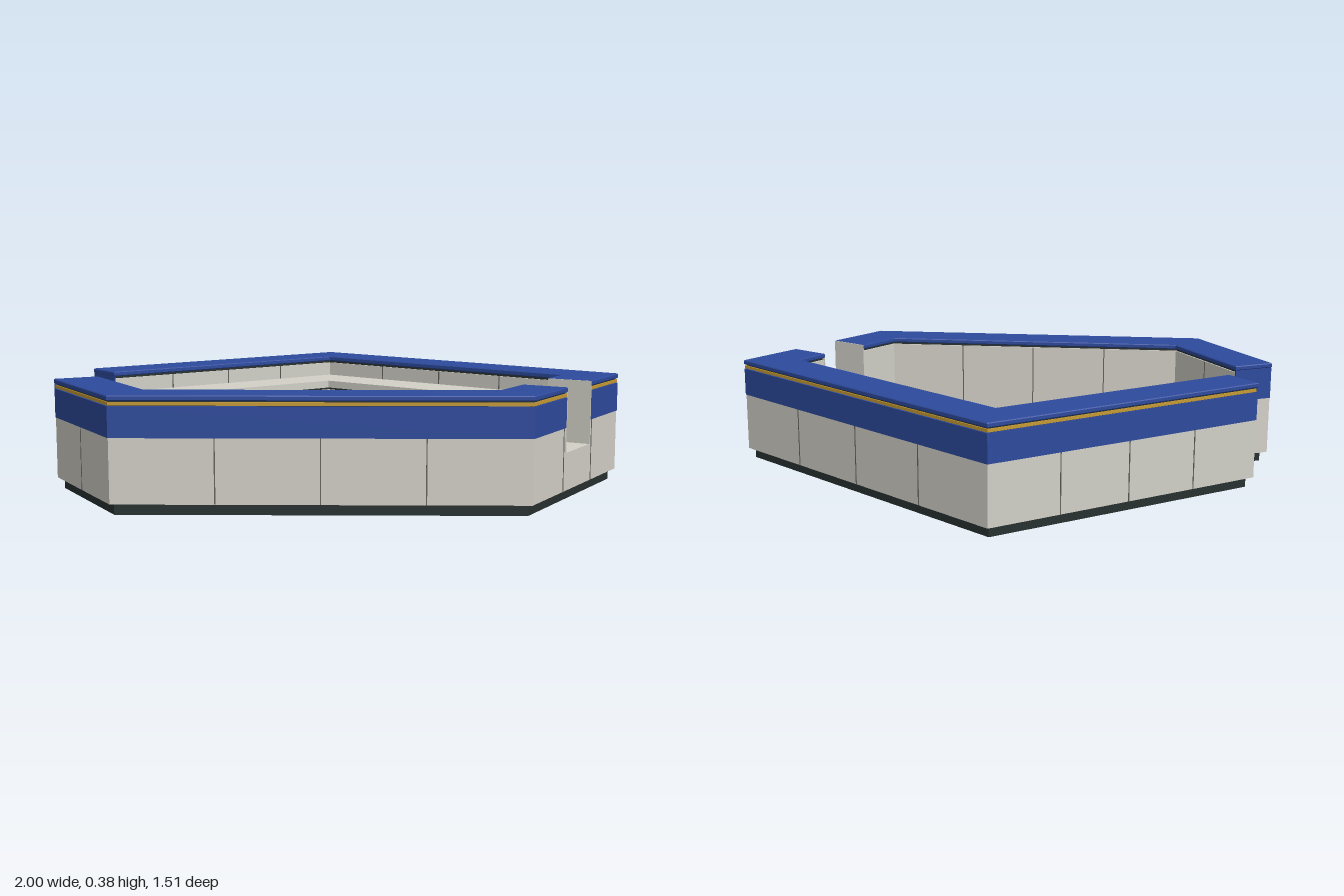
import * as THREE from 'three';

const mat = (name, color) => Object.assign(new THREE.MeshStandardMaterial({ color }), { name });

export function createModel() {
  const group = new THREE.Group();
  const grey = mat('warm grey panel', 0xd2d0c7);
  const blue = mat('blue band', 0x2d4a9c);
  const gold = mat('gold trim', 0xc69a35);
  const dark = mat('dark plinth', 0x283030);
  const seamMat = mat('panel seam', 0x66645f);

  // Outer outline in plan (x, z), running clockwise seen from above
  const A = [-0.93, -0.07], B = [-0.06, -0.755], C = [0.995, 0.08];
  const D = [0.61, 0.752], E = [-0.73, 0.752], F = [-1, 0.285];
  const mix = (p, q, t) => [p[0] + (q[0] - p[0]) * t, p[1] + (q[1] - p[1]) * t];
  const G1 = mix(C, D, 0.351), G2 = mix(C, D, 0.645);
  const T = 0.16; // wall thickness
  const direction = (p, q) => {
    const l = Math.hypot(q[0] - p[0], q[1] - p[1]);
    return [(q[0] - p[0]) / l, (q[1] - p[1]) / l];
  };

  // Path moved inward by d with mitred corners
  function offset(path, d) {
    return path.map((p, i) => {
      const a = direction(path[Math.max(i - 1, 0)], path[Math.max(i, 1)]);
      const last = path.length - 1;
      const b = direction(path[Math.min(i, last - 1)], path[Math.min(i + 1, last)]);
      const n = [-a[1] - b[1], a[0] + b[0]];
      const k = d / (1 + a[0] * b[0] + a[1] * b[1]);
      return [p[0] + n[0] * k, p[1] + n[1] * k];
    });
  }

  // Both ends of a path shortened
  function trim(path, start, end) {
    const out = path.map((p) => [...p]), n = path.length - 1;
    const s = direction(path[0], path[1]), e = direction(path[n], path[n - 1]);
    out[0] = [path[0][0] + s[0] * start, path[0][1] + s[1] * start];
    out[n] = [path[n][0] + e[0] * end, path[n][1] + e[1] * end];
    return out;
  }

  // Solid strip between two offsets of a path, from y0 to y1
  function strip(name, path, d0, d1, y0, y1, material, bevel = 0) {
    const pts = [...offset(path, d0 + bevel), ...offset(path, d1 - bevel).reverse()];
    const shape = new THREE.Shape(pts.map(([x, z]) => new THREE.Vector2(x, -z)));
    const geo = new THREE.ExtrudeGeometry(shape, {
      depth: y1 - y0 - 2 * bevel, bevelEnabled: bevel > 0,
      bevelSize: bevel, bevelThickness: bevel, bevelSegments: 1,
    });
    geo.rotateX(-Math.PI / 2);
    geo.translate(0, y0 + bevel, 0);
    const mesh = new THREE.Mesh(geo, material);
    mesh.name = name;
    group.add(mesh);
  }

  // Upright joints dividing a wall face into n panels
  function seams(name, p, q, n, y0, y1) {
    const d = direction(p, q);
    for (let i = 1; i < n; i++) {
      const [x, z] = mix(p, q, i / n);
      const mesh = new THREE.Mesh(new THREE.BoxGeometry(0.004, y1 - y0, 0.003), seamMat);
      mesh.position.set(x, (y0 + y1) / 2, z);
      mesh.rotation.y = -Math.atan2(d[1], d[0]);
      mesh.name = name;
      group.add(mesh);
    }
  }

  // Continuous plinth
  const whole = [A, B, C, D, E, F];
  strip('plinth', trim(whole, 0.02, 0.02), 0.022, T - 0.022, 0, 0.037, dark);

  // Two counter runs either side of the hatch
  for (const path of [[A, B, C, G1], [G2, D, E, F]]) {
    const first = path[0] === A;
    const open = (v) => trim(path, first ? v : 0, first ? 0 : v);
    strip('wallPanels', path, 0.003, T - 0.004, 0.037, 0.25, grey);
    strip('blueBand', path, 0.001, T - 0.01, 0.25, 0.351, blue);
    strip('innerLining', open(0.004), T - 0.01, T - 0.004, 0.25, 0.36, grey);
    strip('shadowGap', open(0.004), 0.008, T - 0.012, 0.351, 0.37, dark);
    strip('goldTrim', open(0.004), 0.003, 0.012, 0.353, 0.364, gold);
    strip('counterTop', open(0.001), 0, T, 0.368, 0.385, blue, 0.003);
    // Blue plate closing the free end
    const end = first ? [A, mix(A, B, 0.005)] : [mix(F, E, 0.01), F];
    strip('endPlate', end, 0.001, T - 0.003, 0.25, 0.368, blue);
  }

  // Lowered hatch sill and its grey cheeks
  strip('hatchSill', [G1, G2], 0.003, T - 0.004, 0.037, 0.165, grey);
  strip('hatchCheek', [G1, mix(G1, G2, 0.02)], 0.001, T - 0.001, 0.165, 0.384, grey);
  strip('hatchCheek', [mix(G2, G1, 0.02), G2], 0.001, T - 0.001, 0.165, 0.384, grey);

  // Panel joints, outside and inside
  const outer = offset(whole, 0.003), inner = offset(whole, T - 0.004);
  [4, 4, 3, 4, 2].forEach((n, i) => {
    seams('outerSeam', outer[i], outer[i + 1], n, 0.038, 0.25);
    seams('innerSeam', inner[i], inner[i + 1], n, 0.038, i === 2 ? 0.164 : 0.36);
  });

  // Inner work bench along the two back walls
  const bench = [[-0.775, 0.012], offset([A, B, C], T)[1], [0.59, -0.038]];
  const W = 0.171;
  strip('benchPlinth', trim(bench, 0.02, 0.02), 0.022, W - 0.028, 0, 0.037, dark);
  strip('benchBody', trim(bench, 0.004, 0.004), -0.003, W - 0.008, 0.037, 0.274, grey);
  strip('benchShadowGap', trim(bench, 0.01, 0.01), 0, W - 0.016, 0.274, 0.283, dark);
  strip('benchTop', bench, -0.003, W, 0.283, 0.31, grey);
  const front = offset(bench, W - 0.008);
  seams('benchSeam', front[0], front[1], 4, 0.038, 0.274);
  seams('benchSeam', front[1], front[2], 4, 0.038, 0.274);

  return group;
}
